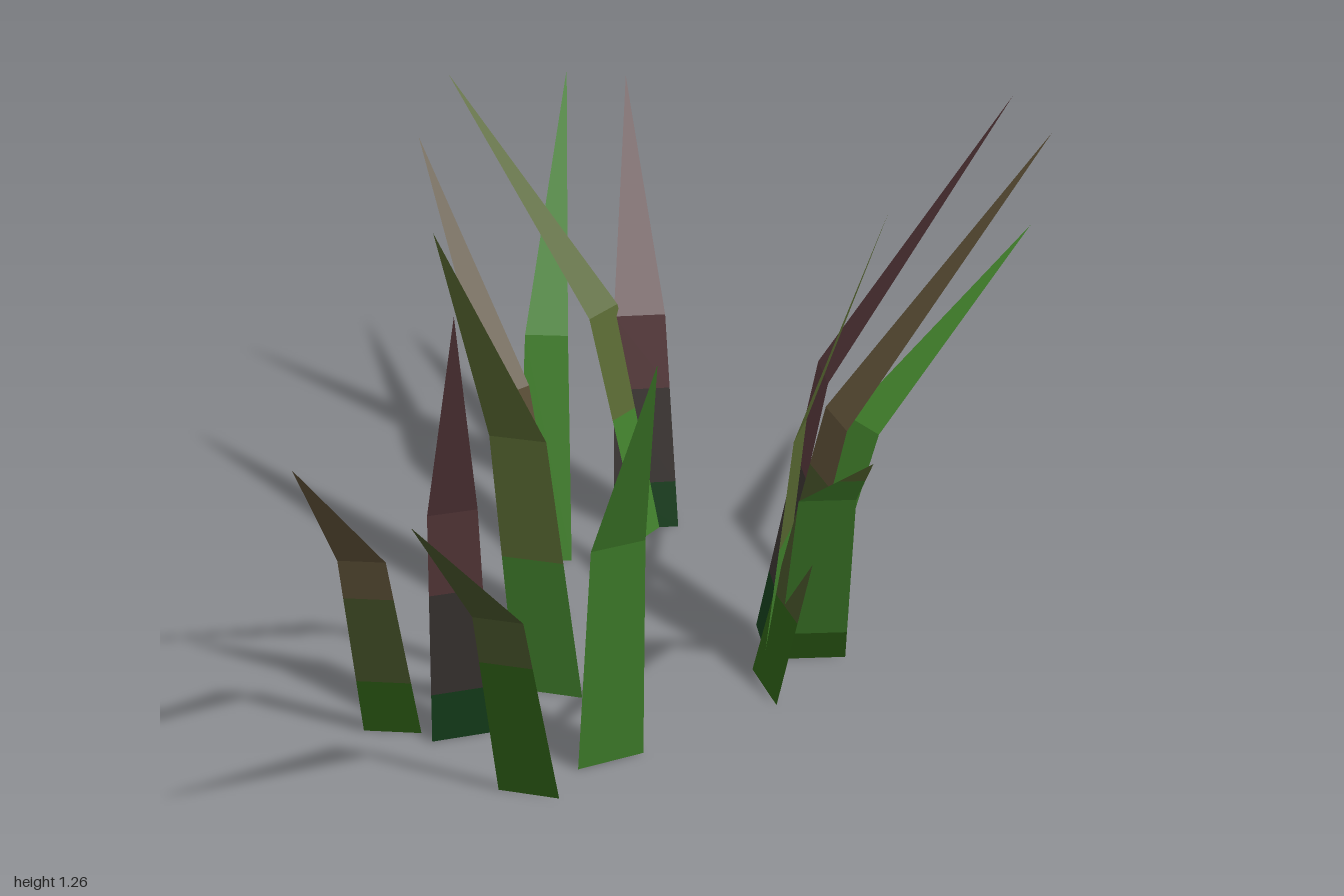
import * as THREE from 'three';

const mat = (name, color) => {
  const m = new THREE.MeshStandardMaterial({ color, side: THREE.DoubleSide });
  m.name = name;
  return m;
};

// Height fraction and sideways lean where every blade bends, and its relative width there
const BEND = 0.53, LEAN = 0.25, BEND_WIDTH = 0.78;

// Half-width corners of a blade at height fraction t
function section(b, t) {
  const [bx, bz, tx, ty, tz, w] = b;
  const low = t <= BEND;
  const k = low ? t / BEND : (t - BEND) / (1 - BEND);
  const lean = low ? k * LEAN : LEAN + k * (1 - LEAN);
  const width = low ? w * (1 - k * (1 - BEND_WIDTH)) : w * BEND_WIDTH * (1 - k);
  const dx = tx - bx, dz = tz - bz, len = Math.hypot(dx, dz);
  const sx = (dz / len) * width / 2, sz = (-dx / len) * width / 2;
  const x = bx + dx * lean, y = ty * t, z = bz + dz * lean;
  return [new THREE.Vector3(x - sx, y, z - sz), new THREE.Vector3(x + sx, y, z + sz)];
}

// One flat folded blade; bands = [[top fraction, material], ...]
function makeBlade(b, bands) {
  const pts = [], geo = new THREE.BufferGeometry();
  let from = 0;
  bands.forEach(([to, ], i) => {
    const start = pts.length;
    const cuts = from < BEND && to > BEND ? [from, BEND, to] : [from, to];
    for (let c = 0; c < cuts.length - 1; c++) {
      const [l0, r0] = section(b, cuts[c]);
      const [l1, r1] = section(b, cuts[c + 1]);
      pts.push(l0, r0, r1);
      if (cuts[c + 1] < 1) pts.push(l0, r1, l1);
    }
    geo.addGroup(start, pts.length - start, i);
    from = to;
  });
  geo.setFromPoints(pts);
  geo.computeVertexNormals();
  return new THREE.Mesh(geo, bands.map(([, m]) => m));
}

export function createModel() {
  const leaf = mat('leafGreen', 0x3f7d2a);
  const moss = mat('mossGreen', 0x2b5a14);
  const deep = mat('deepGreen', 0x143c1a);
  const olive = mat('olive', 0x566630);
  const darkOlive = mat('darkOlive', 0x445028);
  const brown = mat('brown', 0x5a4d35);
  const darkBrown = mat('darkBrown', 0x383230);
  const plum = mat('plum', 0x533638);

  // Colour bands from root to tip
  const kinds = {
    greenBlade: [[1, leaf]],
    oliveBlade: [[0.29, leaf], [1, olive]],
    darkOliveBlade: [[0.4, moss], [1, darkOlive]],
    tallGreenBlade: [[0.09, moss], [0.8, leaf], [1, olive]],
    brownBlade: [[0.163, moss], [0.42, darkOlive], [1, brown]],
    plumBlade: [[0.115, deep], [0.35, darkBrown], [1, plum]],
  };

  // kind, root x, root z, tip x, tip y, tip z, root width
  const blades = [
    ['brownBlade', -0.615, 0.305, -0.63, 0.92, 0.83, 0.115],
    ['darkOliveBlade', -0.325, 0.485, -0.415, 0.92, 0.99, 0.12],
    ['oliveBlade', -0.32, 0.165, -0.41, 1.26, 0.66, 0.14],
    ['plumBlade', -0.475, 0.315, -0.405, 1.05, 0.54, 0.12],
    ['greenBlade', -0.177, 0.378, -0.06, 1.015, 0.63, 0.135],
    ['tallGreenBlade', 0.21, 0.02, 0.29, 0.965, 0.845, 0.14],
    ['oliveBlade', 0.125, 0.03, 0.33, 1.05, 0.085, 0.12],
    ['plumBlade', 0.105, -0.035, 0.56, 1.19, -0.13, 0.12],
    ['brownBlade', 0.115, 0.125, 0.635, 1.13, -0.1, 0.13],
    ['greenBlade', 0.193, -0.195, 0.66, 0.71, -0.59, 0.125],
    ['brownBlade', -0.35, -0.06, -0.6, 1.0, -0.33, 0.125],
    ['oliveBlade', -0.14, -0.46, -0.61, 0.95, -0.8, 0.12],
    ['greenBlade', -0.38, -0.322, -0.37, 0.89, -0.99, 0.12],
    ['plumBlade', -0.165, -0.462, -0.23, 0.905, -0.92, 0.145],
  ];

  const group = new THREE.Group();
  group.name = 'grassTuft';
  blades.forEach(([kind, ...b], i) => {
    const mesh = makeBlade(b, kinds[kind]);
    mesh.name = `${kind}${i + 1}`;
    group.add(mesh);
  });
  return group;
}
